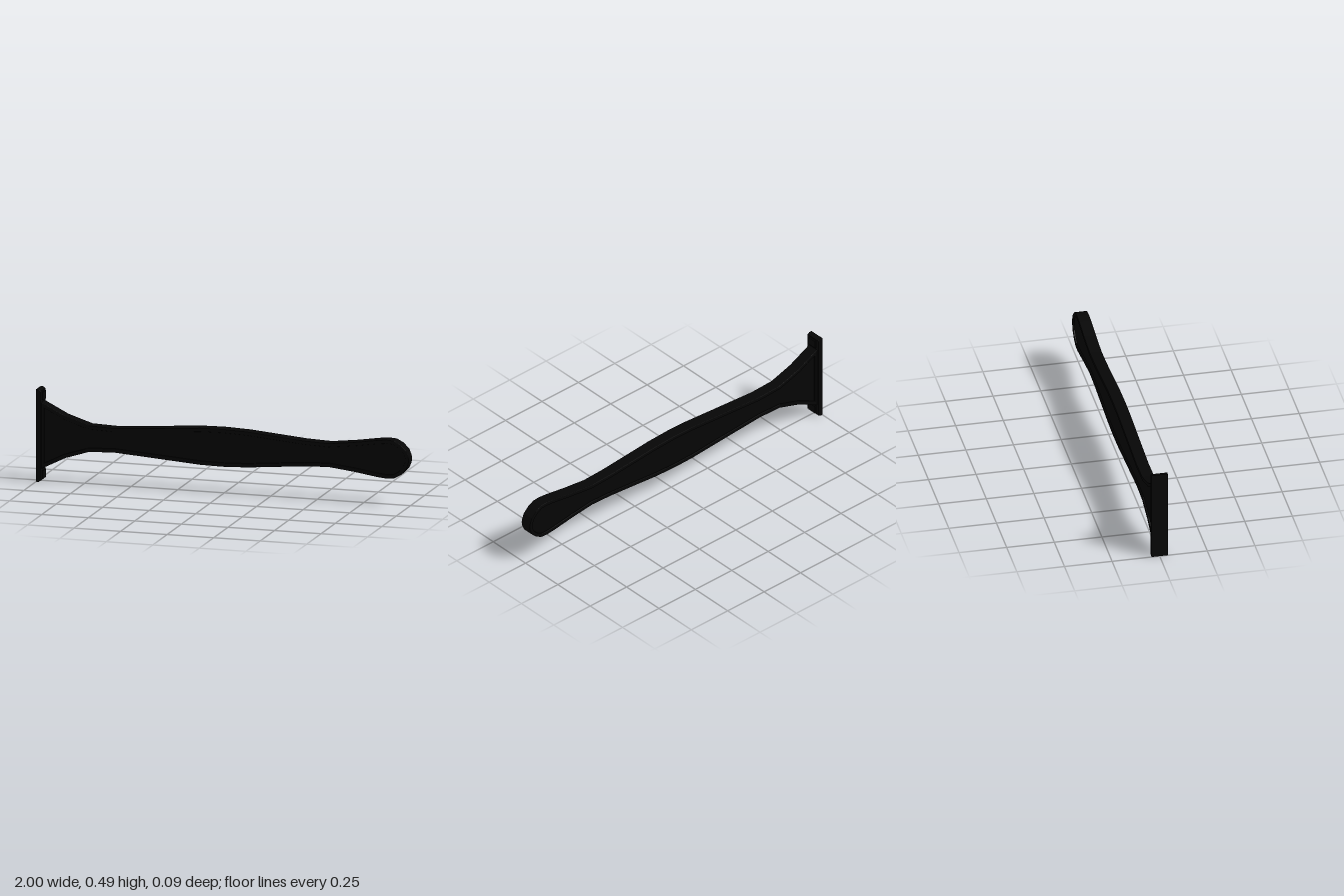
import * as THREE from 'three';

const MID = 0.243; // height of the handle's long axis

// Closed symmetric outline (clockwise) from its upper half, given as [x, height above axis]
function outline(upper) {
  const lower = upper.filter(([, h]) => h > 0).reverse().map(([x, h]) => [x, -h]);
  return [...upper, ...lower].map(([x, h]) => new THREE.Vector2(x, MID + h));
}

// Upper half moved inwards by a distance, square to the curve
function inset(upper, distance) {
  return upper.map(([x, h], i) => {
    const [ax, ah] = upper[Math.max(i - 1, 0)];
    const [bx, bh] = i < upper.length - 1 ? upper[i + 1] : [x, h - 1];
    const length = Math.hypot(bx - ax, bh - ah);
    return h === 0 ? [x - distance, 0]
      : [x + (bh - ah) / length * distance, Math.max(h - (bx - ax) / length * distance, 0.004)];
  });
}

// Plate extruded along z, with small rounded edges
function bevelledPlate(shape, halfDepth, bevel, material, name) {
  const depth = 2 * (halfDepth - bevel);
  const geometry = new THREE.ExtrudeGeometry(shape, {
    depth, bevelEnabled: true, bevelThickness: bevel, bevelSize: bevel,
    bevelOffset: -bevel, bevelSegments: 2,
  });
  geometry.translate(0, 0, -depth / 2);
  const mesh = new THREE.Mesh(geometry, material);
  mesh.name = name;
  return mesh;
}

export function createModel() {
  const black = new THREE.MeshStandardMaterial({ color: 0x060606 });
  black.name = 'black plastic';
  const group = new THREE.Group();
  group.name = 'handle with head';

  // Waisted grip: flared neck, swollen middle, round knob end
  const grip = [
    [-0.98, 0.178], [-0.95, 0.163], [-0.845, 0.11], [-0.717, 0.069], [-0.58, 0.064],
    [-0.31, 0.083], [-0.12, 0.097], [0, 0.099], [0.13, 0.094], [0.44, 0.067],
    [0.57, 0.062], [0.706, 0.078], [0.83, 0.097], [0.88, 0.102], [0.92, 0.099],
    [0.955, 0.08], [0.985, 0.05], [0.997, 0.02], [1, 0],
  ];
  const rim = new THREE.Shape(outline(grip));
  rim.holes.push(new THREE.Path(outline(inset(grip.slice(1), 0.02)).reverse()));
  group.add(bevelledPlate(rim, 0.032, 0.003, black, 'gripRim'));

  // Slightly sunken panel on both broad faces, its edge tucked into the rim
  const panel = new THREE.Shape(outline(inset(grip, 0.01)));
  for (const side of [1, -1]) {
    const geometry = new THREE.ShapeGeometry(panel);
    if (side < 0) geometry.translate(0, -MID, 0).rotateX(Math.PI).translate(0, MID, 0);
    const face = new THREE.Mesh(geometry, black);
    face.name = side > 0 ? 'frontPanel' : 'backPanel';
    face.position.z = side * 0.024;
    group.add(face);
  }

  // Flat cross plate at the flared end
  const plate = [[-1, 0.243], [-0.985, 0.243], [-0.973, 0.235], [-0.973, 0]];
  group.add(bevelledPlate(new THREE.Shape(outline(plate)), 0.0435, 0.003, black, 'headPlate'));

  // Small raised lip near each end of the plate
  for (const side of [1, -1]) {
    const lip = new THREE.Mesh(new THREE.BoxGeometry(0.016, 0.042, 0.05), black);
    lip.name = side > 0 ? 'upperLip' : 'lowerLip';
    lip.position.set(-0.973, MID + side * 0.207, 0);
    group.add(lip);
  }
  return group;
}
